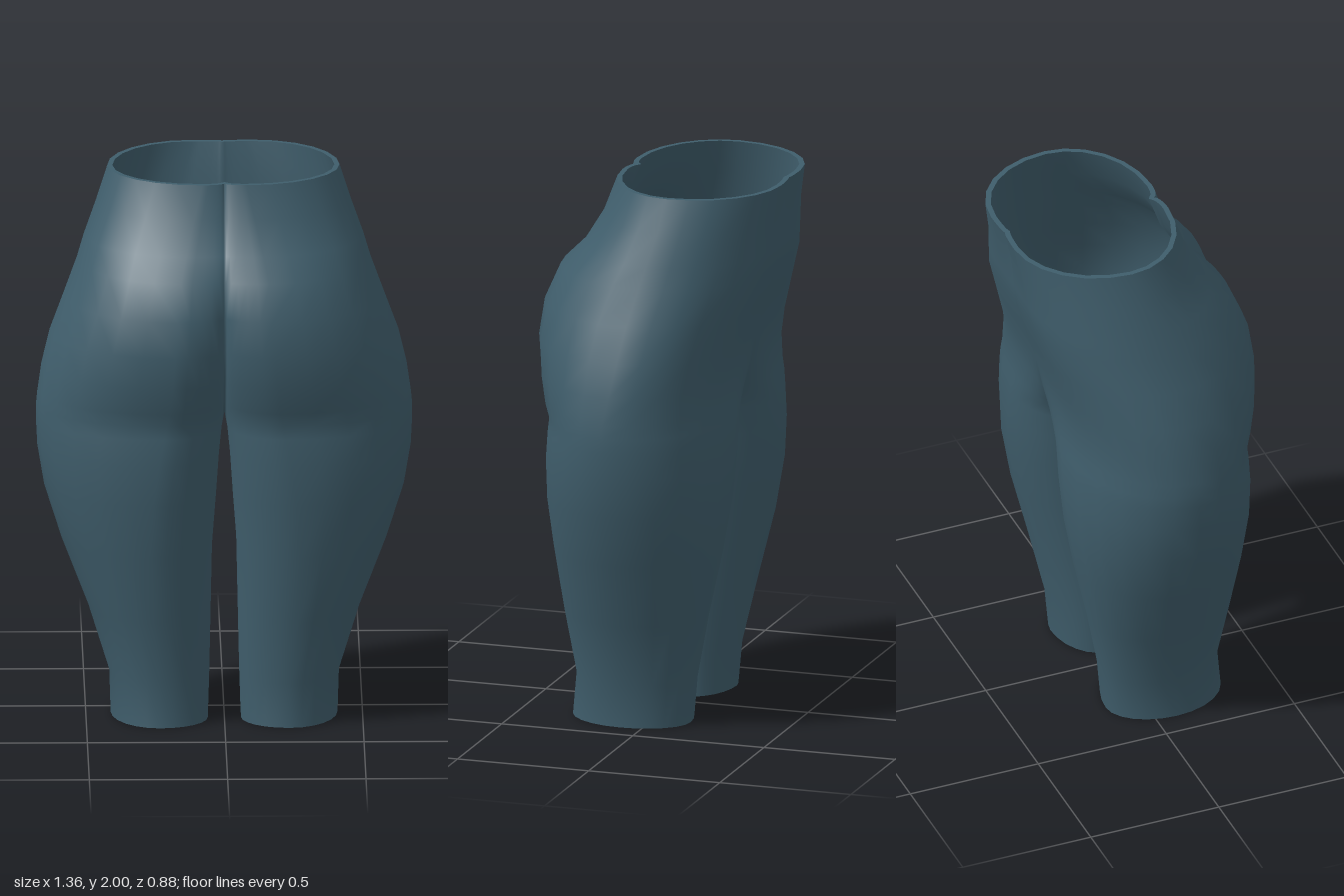
import * as THREE from 'three';
import { mergeVertices } from 'three/addons/utils/BufferGeometryUtils.js';

// Cross-sections, bottom to top. Each half is described by:
// y, outer x, inner x, z of the widest point, x of the fullest point,
// z of rear bulge, z of rear centre, z of front bulge, z of front centre
const ROWS = [
  [0.00, 0.41, 0.06, 0.08, 0.235, 0.31, 0.16, -0.14, 0.00],
  [0.16, 0.415, 0.055, 0.08, 0.235, 0.295, 0.16, -0.155, 0.00],
  [0.40, 0.49, 0.05, 0.07, 0.26, 0.33, 0.16, -0.205, -0.02],
  [0.65, 0.587, 0.045, 0.06, 0.27, 0.362, 0.16, -0.262, -0.05],
  [0.85, 0.65, 0.03, 0.06, 0.26, 0.385, 0.17, -0.295, -0.08],
  [1.00, 0.675, 0.02, 0.06, 0.24, 0.39, 0.18, -0.305, -0.10],
  [1.10, 0.68, 0.01, 0.06, 0.22, 0.385, 0.18, -0.305, -0.10],
  [1.15, 0.68, 0, 0.06, 0.21, 0.38, 0.17, -0.303, -0.12],
  [1.20, 0.675, 0, 0.06, 0.20, 0.40, 0.21, -0.298, -0.21],
  [1.30, 0.66, 0, 0.04, 0.19, 0.425, 0.29, -0.295, -0.28],
  [1.42, 0.63, 0, 0.02, 0.18, 0.44, 0.335, -0.315, -0.305],
  [1.55, 0.58, 0, 0, 0.17, 0.425, 0.355, -0.35, -0.345],
  [1.68, 0.53, 0, -0.03, 0.16, 0.37, 0.345, -0.385, -0.38],
  [1.76, 0.505, 0, -0.05, 0.14, 0.29, 0.275, -0.395, -0.39],
  [1.88, 0.46, 0, -0.08, 0.11, 0.22, 0.20, -0.41, -0.40],
  [2.00, 0.42, 0, -0.10, 0.08, 0.18, 0.155, -0.435, -0.425],
];
const CROTCH = 7;      // row where the two legs join
const STEPS = 6;       // segments per quarter curve
const INNER = 4;       // segments across the inside of the leg
const THICKNESS = 0.02;

// Half ring: rear centre, round the outside, front centre, then back along the inner thigh
function halfRing([y, xo, xi, zm, cx, zB, zcb, zF, zcf], withInner) {
  const pts = [];
  const cf = cx + 0.03;
  const quarter = (x0, x1, zPeak, zEnd, from, to) => {
    for (let i = 0; i < STEPS; i++) {
      const a = THREE.MathUtils.lerp(from, to, i / STEPS) * Math.PI / 2;
      pts.push([x0 + (x1 - x0) * Math.sin(a), y, zEnd + (zPeak - zEnd) * Math.cos(a)]);
    }
  };
  quarter(cx, xi, zB, zcb, 1, 0);
  quarter(cx, xo, zB, zm, 0, 1);
  quarter(cf, xo, zF, zm, 1, 0);
  quarter(cf, xi, zF, zcf, 0, 1);
  pts.push([xi, y, zcf]);
  if (withInner) {
    for (let i = 1; i <= INNER; i++) pts.push([xi, y, THREE.MathUtils.lerp(zcf, zcb, i / INNER)]);
  }
  return pts;
}

// Outer skin: both halves lofted and welded along the centre line
function outerSkin() {
  const pos = [];
  for (const side of [1, -1]) {
    const put = (...corners) => {
      if (side < 0) corners.reverse();
      for (const [x, y, z] of corners) pos.push(x * side, y, z);
    };
    for (let j = 0; j < ROWS.length - 1; j++) {
      const low = halfRing(ROWS[j], j < CROTCH);
      const high = halfRing(ROWS[j + 1], j < CROTCH);
      for (let i = 0; i < low.length - 1; i++) {
        put(low[i], low[i + 1], high[i + 1]);
        put(low[i], high[i + 1], high[i]);
      }
    }
  }
  const geo = new THREE.BufferGeometry();
  geo.setAttribute('position', new THREE.Float32BufferAttribute(pos, 3));
  const welded = mergeVertices(geo, 1e-4);
  welded.computeVertexNormals();
  return welded;
}

// Lining: the skin moved inward and turned inside out, level at the hems
function innerSkin(skin) {
  const geo = skin.clone();
  const p = geo.attributes.position;
  const n = skin.attributes.normal;
  for (let i = 0; i < p.count; i++) {
    const y = p.getY(i);
    const atHem = y < 0.001 || y > 1.999;
    p.setXYZ(i, p.getX(i) - n.getX(i) * THICKNESS,
      atHem ? y : y - n.getY(i) * THICKNESS, p.getZ(i) - n.getZ(i) * THICKNESS);
  }
  geo.setIndex(Array.from(skin.index.array).reverse());
  geo.computeVertexNormals();
  return geo;
}

// Hems: strips joining skin and lining along every open edge
function hemStrips(skin, lining) {
  const idx = skin.index.array;
  const edges = new Map();
  for (let t = 0; t < idx.length; t += 3) {
    for (let k = 0; k < 3; k++) {
      const a = idx[t + k], b = idx[t + (k + 1) % 3];
      if (!edges.delete(`${b},${a}`)) edges.set(`${a},${b}`, [a, b]);
    }
  }
  const pos = [];
  const v = new THREE.Vector3();
  const put = (geo, i) => pos.push(...v.fromBufferAttribute(geo.attributes.position, i).toArray());
  for (const [a, b] of edges.values()) {
    const y = skin.attributes.position.getY(a);
    if (y > 0.001 && y < 1.999) continue;
    put(skin, b); put(skin, a); put(lining, a);
    put(skin, b); put(lining, a); put(lining, b);
  }
  const geo = new THREE.BufferGeometry();
  geo.setAttribute('position', new THREE.Float32BufferAttribute(pos, 3));
  geo.computeVertexNormals();
  return geo;
}

export function createModel() {
  const group = new THREE.Group();
  group.name = 'leggings';
  const fabric = new THREE.MeshStandardMaterial({ color: 0x3f5d6b });
  fabric.name = 'slate blue fabric';

  const skin = outerSkin();
  const lining = innerSkin(skin);
  const parts = { outerFabric: skin, lining, hems: hemStrips(skin, lining) };
  for (const [name, geo] of Object.entries(parts)) {
    const mesh = new THREE.Mesh(geo, fabric);
    mesh.name = name;
    group.add(mesh);
  }
  return group;
}
